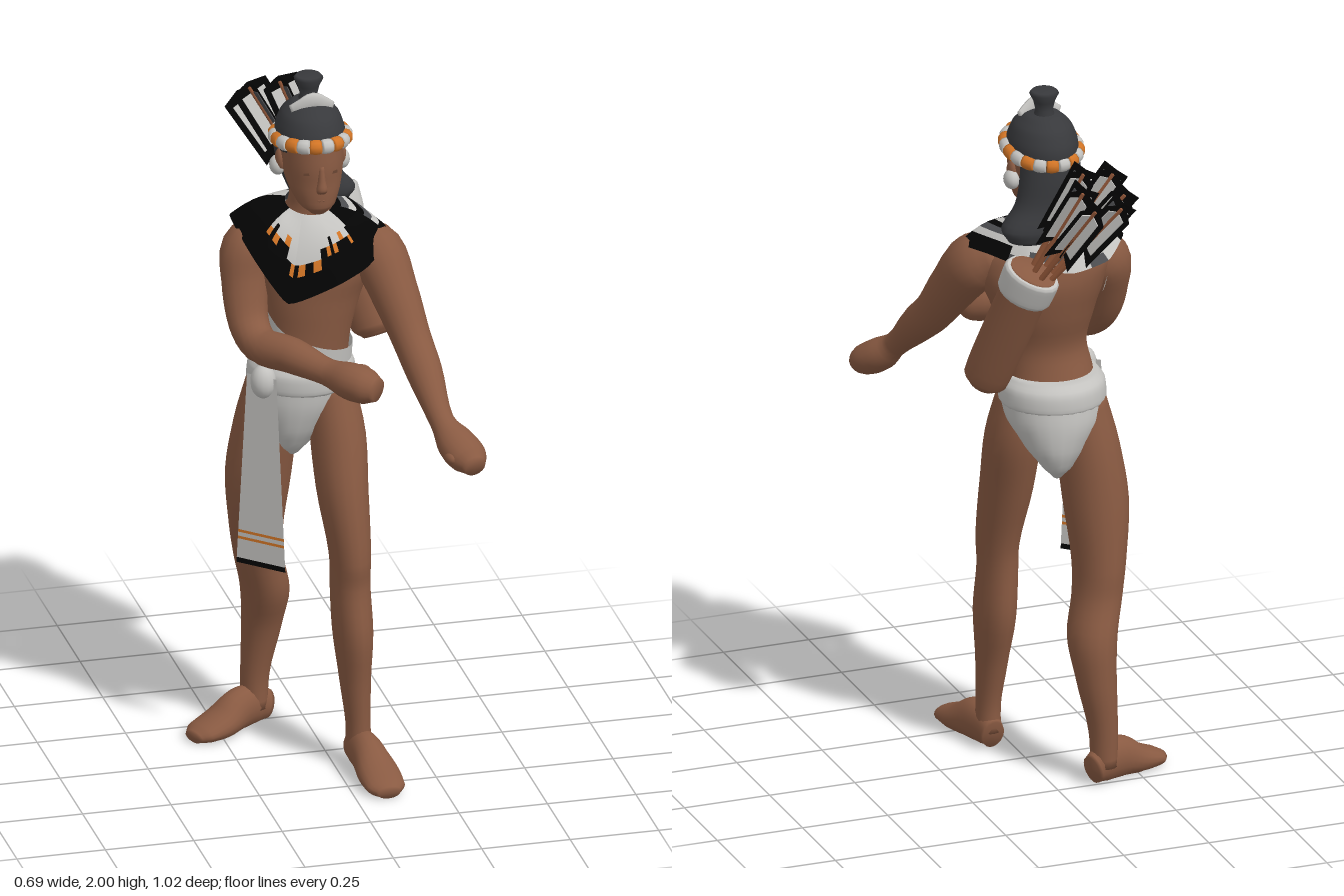
import * as THREE from 'three';

const mat = (name, color, side = THREE.FrontSide) => {
  const m = new THREE.MeshStandardMaterial({ color, side });
  m.name = name;
  return m;
};
const V = (x, y, z) => new THREE.Vector3(x, y, z);

// Closed smooth skin through elliptical sections [x, y, z, a, b]; level keeps sections horizontal
function loft(sections, { side = V(1, 0, 0), level = false, seg = 18, steps = 4 } = {}) {
  const path = new THREE.CatmullRomCurve3(sections.map(s => V(s[0], s[1], s[2])));
  const radii = new THREE.CatmullRomCurve3(sections.map(s => V(s[3], s[4], 0)), false, 'catmullrom', .4);
  const n = (sections.length - 1) * steps, pos = [], idx = [];
  const dir = Math.sign(sections[sections.length - 1][1] - sections[0][1]);
  for (let i = 0; i <= n; i++) {
    const c = path.getPoint(i / n), r = radii.getPoint(i / n);
    const t = level ? V(0, dir, 0) : path.getTangent(i / n);
    const s = side.clone().addScaledVector(t, -side.dot(t)).normalize();
    const f = t.clone().cross(s);
    for (let j = 0; j < seg; j++) {
      const th = j / seg * Math.PI * 2;
      const p = c.clone().addScaledVector(s, r.x * Math.cos(th)).addScaledVector(f, r.y * Math.sin(th));
      pos.push(p.x, Math.max(p.y, 0), p.z);
      if (i < n) {
        const a = i * seg + j, b = i * seg + (j + 1) % seg;
        idx.push(a, b, b + seg, a, b + seg, a + seg);
      }
    }
  }
  const k = (n + 1) * seg;
  for (const t of [0, 1]) { const c = path.getPoint(t); pos.push(c.x, c.y, c.z); }
  for (let j = 0; j < seg; j++) {
    const q = (j + 1) % seg;
    idx.push(k, q, j, k + 1, n * seg + j, n * seg + q);
  }
  return build(pos, idx);
}

function build(pos, idx) {
  const g = new THREE.BufferGeometry();
  g.setAttribute('position', new THREE.Float32BufferAttribute(pos, 3));
  g.setIndex(idx);
  g.computeVertexNormals();
  return g;
}

// Flat sheet from rows of points; pick(i, j) gives the material index of each cell
function sheet(rows, pick = () => 0) {
  const w = rows[0].length, pos = rows.flat().flatMap(p => [p.x, p.y, p.z]), cells = {};
  for (let i = 0; i < rows.length - 1; i++) for (let j = 0; j < w - 1; j++) {
    const a = i * w + j;
    (cells[pick(i, j)] ??= []).push(a, a + 1, a + w + 1, a, a + w + 1, a + w);
  }
  const g = build(pos, Object.values(cells).flat());
  let start = 0;
  for (const [m, list] of Object.entries(cells)) { g.addGroup(start, list.length, +m); start += list.length; }
  return g;
}

export function createModel() {
  const root = new THREE.Group();
  const D = THREE.DoubleSide;
  const skin = mat('skin', 0x895a42), hair = mat('hair', 0x38393c), cloth = mat('white cloth', 0xc4c3c0, D);
  const black = mat('black', 0x040404, D), orange = mat('orange', 0xd27526, D), grey = mat('grey', 0x4c4d50, D);
  const wood = mat('arrow wood', 0x96593a), shade = mat('dark skin', 0x6a4532);
  const add = (name, geo, material, parent = root) => {
    const m = new THREE.Mesh(geo, material);
    m.name = name;
    parent.add(m);
    return m;
  };
  const ball = (name, r, m, p, s = [1, 1, 1]) => {
    const b = add(name, new THREE.SphereGeometry(r, 14, 10), m);
    b.position.set(...p);
    b.scale.set(...s);
  };

  // Torso turned towards its right
  const side = V(0.91, 0, 0.41);
  const torso = [[-.05, 1.06, -.08, .135, .13], [-.045, 1.18, -.058, .122, .112], [-.035, 1.26, -.048, .118, .107],
    [-.03, 1.36, -.058, .142, .124], [-.025, 1.45, -.064, .172, .133], [-.03, 1.52, -.072, .175, .115],
    [-.03, 1.57, -.075, .125, .088], [-.03, 1.62, -.06, .062, .065], [-.03, 1.72, -.045, .055, .06]];
  add('torso', loft(torso, { side, level: true, seg: 28 }), skin);

  // Legs and feet
  add('leftLeg', loft([[.02, 1.12, -.02, .062, .07], [.033, .96, .008, .076, .098], [.035, .8, .052, .07, .1],
    [.047, .62, .09, .056, .087], [.047, .54, .09, .054, .08], [.052, .4, .1, .054, .09], [.056, .25, .112, .042, .06],
    [.062, .13, .12, .034, .044], [.064, .05, .12, .035, .045]], { level: true }), skin);
  add('leftFoot', loft([[.062, .045, .082, .032, .042], [.065, .056, .12, .038, .056], [.073, .058, .18, .046, .06],
    [.083, .035, .26, .058, .042], [.088, .022, .33, .054, .026], [.09, .015, .36, .03, .016]]), skin);
  add('rightLeg', loft([[-.12, 1.12, -.1, .066, .085], [-.14, .96, -.11, .086, .106], [-.156, .8, -.13, .09, .104],
    [-.156, .62, -.155, .072, .096], [-.145, .53, -.17, .068, .085], [-.12, .42, -.198, .067, .087],
    [-.122, .3, -.225, .055, .064], [-.138, .15, -.236, .04, .045], [-.14, .05, -.236, .037, .042]], { level: true }), skin);
  add('rightFoot', loft([[-.1, .045, -.25, .032, .042], [-.138, .056, -.235, .038, .056], [-.19, .058, -.21, .046, .06],
    [-.25, .035, -.18, .058, .042], [-.31, .022, -.155, .054, .026], [-.338, .015, -.142, .03, .016]], { side: V(.42, 0, .9) }), skin);

  // Arms ending in fists
  add('leftArm', loft([[.09, 1.53, -.05, .04, .05], [.14, 1.488, .012, .075, .082], [.172, 1.395, .09, .066, .072],
    [.2, 1.285, .178, .054, .058], [.215, 1.22, .255, .05, .052], [.235, 1.12, .37, .034, .035], [.26, 1.075, .42, .053, .046],
    [.285, 1.045, .465, .054, .044], [.295, 1.03, .505, .03, .026]]), skin);
  ball('leftThumb', .022, skin, [.24, 1.05, .455], [1, 1, 1.6]);
  add('rightArm', loft([[-.14, 1.54, -.1, .04, .05], [-.192, 1.49, -.09, .072, .076], [-.21, 1.4, -.06, .06, .066],
    [-.213, 1.3, -.01, .05, .056], [-.195, 1.258, .045, .05, .052], [-.13, 1.258, .14, .05, .05], [-.055, 1.243, .24, .036, .038],
    [-.005, 1.236, .3, .054, .052], [.03, 1.23, .333, .055, .05], [.058, 1.225, .36, .03, .032]], { side: V(0, 0.3, 1) }), skin);
  ball('rightThumb', .022, skin, [.02, 1.262, .3], [1.5, .9, 1]);

  // Head and face
  const hx = -.03;
  add('head', loft([[hx, 1.635, .035, .022, .025], [hx, 1.66, .022, .052, .056], [hx, 1.715, -.015, .076, .095],
    [hx, 1.78, -.035, .086, .117], [hx, 1.85, -.045, .088, .12]], { level: true, seg: 24 }), skin);
  add('nose', loft([[hx, 1.785, .074, .008, .01], [hx, 1.745, .08, .011, .013], [hx, 1.718, .083, .016, .016],
    [hx, 1.705, .078, .012, .008]], { level: true, seg: 10 }), skin);
  add('lips', loft([[hx, 1.69, .066, .018, .009], [hx, 1.683, .07, .023, .01], [hx, 1.672, .064, .016, .009]],
    { level: true, seg: 10 }), skin);
  for (const s of [-1, 1]) {
    const eye = add('eye', new THREE.BoxGeometry(.026, .008, .006), shade);
    eye.position.set(hx + s * .035, 1.762, .068);
    eye.rotation.y = s * .35;
    ball('ear', .028, skin, [hx + s * .086, 1.765, -.045], [.5, 1.2, .8]);
    ball('earring', .028, cloth, [hx + s * .091, 1.745, -.055], [.8, 1, 1]);
  }

  // Hair, topknot and its ribbon
  add('hairCap', loft([[hx, 1.8, -.055, .092, .12], [hx, 1.85, -.052, .095, .122], [hx, 1.895, -.052, .08, .1],
    [hx, 1.925, -.055, .05, .06], [hx, 1.935, -.06, .02, .025]], { level: true, seg: 24 }), hair);
  add('backHair', loft([[hx, 1.85, -.1, .08, .068], [hx, 1.77, -.113, .086, .066], [-.01, 1.69, -.118, .083, .062],
    [.025, 1.63, -.128, .092, .064], [.03, 1.595, -.135, .07, .05]], { level: true, seg: 20 }), hair);
  add('topknot', new THREE.LatheGeometry([[.035, 0], [.024, .03], [.03, .055], [.041, .078], [.034, .086], [0, .086]]
    .map(p => new THREE.Vector2(...p)), 16), hair).position.set(hx, 1.914, -.066);
  add('hairRibbon', loft([[-.088, 1.915, -.028, .008, .016], [-.06, 1.928, -.02, .01, .022], [hx, 1.943, -.016, .01, .024],
    [0, 1.928, -.02, .01, .022], [.025, 1.915, -.028, .008, .016]], { side: V(0, 0, 1), seg: 10 }), cloth);

  // Headband of alternating wrapped segments
  const band = new THREE.Group();
  band.name = 'headband';
  root.add(band);
  for (let i = 0; i < 20; i++) {
    const pts = [0, .33, .67, 1].map((u, k) => {
      const a = (i + u) / 20 * Math.PI * 2, r = k % 3 ? .021 : .019;
      return [hx + .095 * Math.cos(a), 1.829 + .014 * Math.sin(a), -.046 + .12 * Math.sin(a), r, r];
    });
    add('headbandSegment', loft(pts, { side: V(0, 1, 0), seg: 10, steps: 2 }), i % 2 ? orange : cloth, band);
  }

  // Shoulder collar draped from the neck, patterned cell by cell
  const outer = new THREE.CatmullRomCurve3([[-.13, 1.395, .1], [.0, 1.445, .127], [.09, 1.485, .112], [.187, 1.54, .03],
    [.145, 1.55, -.09], [.07, 1.535, -.2], [-.05, 1.52, -.24], [-.16, 1.535, -.22], [-.236, 1.572, -.135],
    [-.205, 1.5, .025]].map(p => V(...p)), true, 'catmullrom', .25);
  const N = 60, R = 8, rows = [];
  for (let i = 0; i <= R; i++) rows.push(Array.from({ length: N + 1 }, (_, j) => {
    const o = outer.getPoint(j / N % 1), a = Math.atan2(o.z + .06, o.x + .03), v = i / R;
    const p = V(-.03 + .066 * Math.cos(a), 1.625 - .012 * Math.sin(a), -.06 + .072 * Math.sin(a)).lerp(o, v);
    p.y += .022 * Math.sin(v * Math.PI);
    p.z += .02 * Math.sin(v * Math.PI) * Math.max(0, Math.sin(a));
    return p;
  }));
  const pattern = (i, j) => {
    if (j >= 27 && j < 46) return j < 42 && (i * 3 + j) % 12 < 5 ? 2 : 1;
    if (j >= 17 && j < 27) return i > 5 ? 0 : i % 3 === 1 ? 2 : i % 3 === 2 ? 1 : 0;
    const jag = j < 4 || j > 57 ? 5 : 4 - (j % 3 === 0 ? 1 : 0);
    if (j < 13 || j >= 53) return i < jag ? 1 : i === jag && j % 2 ? 3 : 0;
    return 0;
  };
  add('collar', sheet(rows, pattern), [black, cloth, grey, orange]);

  // Strap down the right side of the chest and across to the left hip
  const strap = [-.022, .022].map(h => Array.from({ length: 41 }, (_, j) => {
    const a = Math.PI - .2 + j / 40 * (Math.PI + .9), e = Math.cos(a);
    const y = 1.235 - .045 * e + .17 * Math.max(0, -e) ** 4 + h;
    const k = torso.findIndex(s => s[1] > y), p = torso[k - 1], q = torso[k], u = (y - p[1]) / (q[1] - p[1]);
    const [x, , z, ra, rb] = p.map((n, m) => n + (q[m] - n) * u);
    const c = (ra + .009) * e, s = (rb + .009) * Math.sin(a);
    return V(x + c * side.x + s * side.z, y, z + c * side.z - s * side.x);
  }));
  add('strap', sheet(strap), cloth);

  // Loincloth: waistband, brief, knot and hanging flap
  add('waistband', loft([[-.05, 1.085, -.077, .14, .135], [-.05, 1.1, -.075, .149, .148], [-.05, 1.145, -.072, .147, .146],
    [-.05, 1.175, -.066, .128, .122]], { side, level: true, seg: 28 }), cloth);
  add('brief', loft([[-.05, 1.11, -.075, .146, .143], [-.053, 1.05, -.082, .136, .146], [-.056, .98, -.09, .098, .137],
    [-.06, .92, -.095, .055, .11], [-.06, .88, -.095, .02, .06]], { side, level: true, seg: 24 }), cloth);
  ball('knot', .038, cloth, [-.18, 1.135, .02], [.95, 1.3, .95]);
  const flapLevels = [1.15, .9, .675, .667, .655, .647, .59, .575];
  const flap = flapLevels.map(y => {
    const w = .045 + (1.15 - y) * .052;
    return [-1, 0, 1].map(s => V(-.185 + s * w * .74, y, .022 - (1.15 - y) * .015 + s * w * .71));
  });
  add('flap', sheet(flap, i => [0, 0, 1, 0, 1, 0, 2][i]), [cloth, orange, black]);

  // Quiver on the back, flattened against it
  const qa = V(.17, 1.19, -.125), qb = V(.085, 1.565, -.285), flat = { side: V(.71, 0, .71) };
  const at = (u, r) => [...qa.clone().lerp(qb, u).toArray(), r * 1.22, r * .92];
  add('quiver', loft([at(-.04, .03), at(.03, .052), at(.4, .056), at(.85, .056), at(1, .055)], flat), skin);
  add('quiverRim', loft([at(.78, .06), at(.81, .065), at(.96, .067), at(.985, .062)], flat), cloth);

  // Arrows with crossed, slanted feathers
  const vane = new THREE.Shape([[-.055, .0], [0, .02], [.055, .0], [.055, .2], [0, .215], [-.055, .2]]
    .map(p => new THREE.Vector2(...p)));
  const patch = new THREE.BoxGeometry(.029, .15, .005), mid = V(-.072, 1.815, -.405);
  const tips = [[-.037, 1.86, -.35], [-.122, 1.85, -.355], [-.017, 1.825, -.4], [-.137, 1.805, -.405], [-.032, 1.79, -.455], [-.107, 1.79, -.46]];
  for (const t of tips) {
    const arrow = new THREE.Group();
    arrow.name = 'arrow';
    const tip = V(...t), base = V(.085, 1.5, -.26).addScaledVector(tip.clone().sub(mid), .35), d = tip.sub(base), len = d.length();
    arrow.position.copy(base);
    arrow.quaternion.setFromUnitVectors(V(0, 1, 0), d.normalize());
    root.add(arrow);
    add('shaft', new THREE.CylinderGeometry(.008, .008, len, 8), wood, arrow).position.y = len / 2;
    for (let k = 0; k < 2; k++) {
      const f = new THREE.Group();
      f.name = 'feather';
      f.position.y = len - .2;
      f.rotation.y = k * Math.PI / 2 + .2;
      arrow.add(f);
      add('vane', new THREE.ShapeGeometry(vane), black, f);
      for (const s of [-1, 1]) add('vanePatch', patch, k && s < 0 ? grey : cloth, f).position.set(s * .023, .108, 0);
    }
  }
  return root;
}
